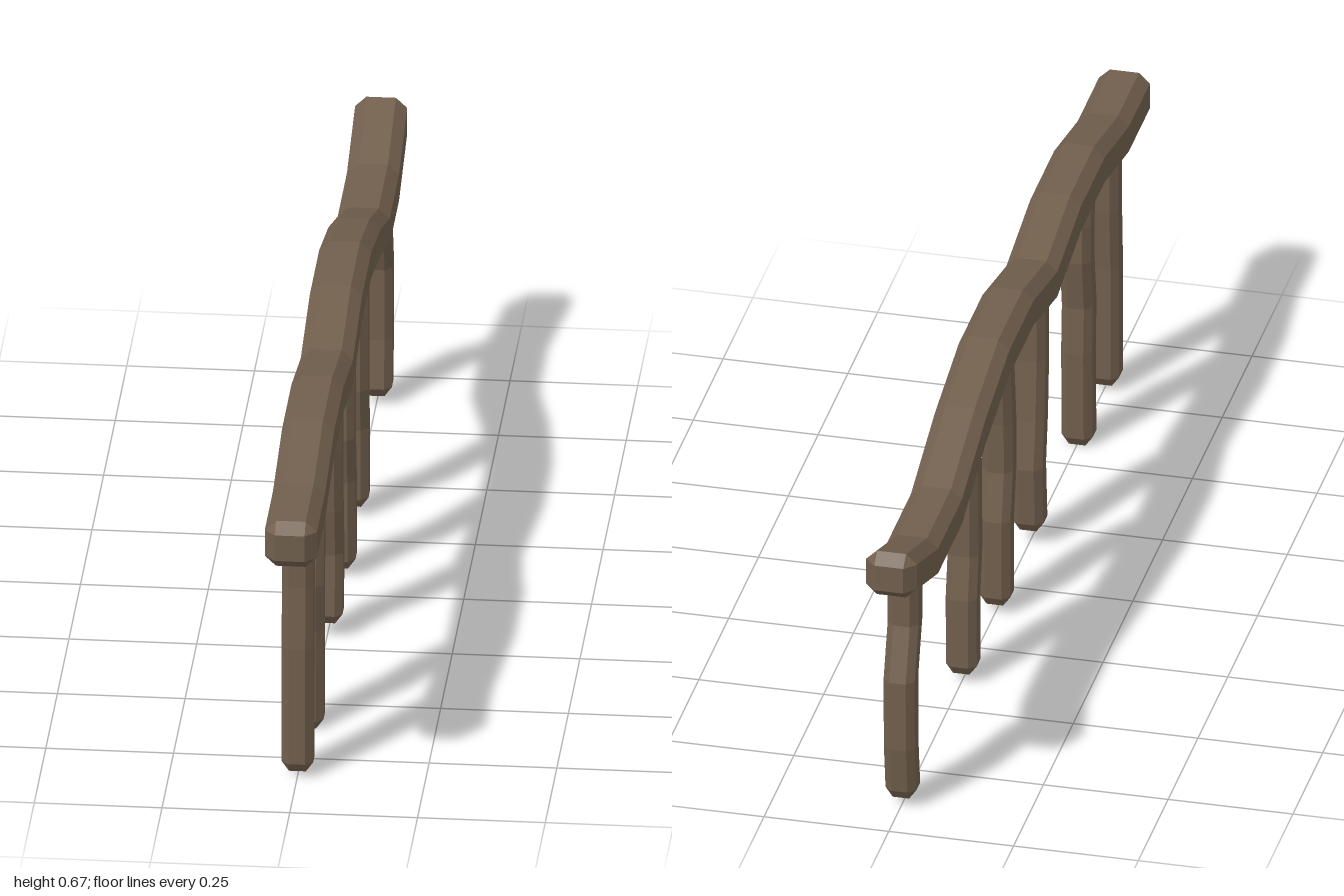
import * as THREE from 'three';

const wood = new THREE.MeshStandardMaterial({ color: 0x715f4d, flatShading: true });
wood.name = 'weathered wood';

// Chamfered-square section, counter-clockwise: h = half size, c = half of the flat
const section = (h, c) => [[h, -c], [h, c], [c, h], [-c, h], [-h, c], [-h, -c], [-c, -h], [c, -h]];
// End section: the chamfer corners fold into a small square
const endSection = (c) => [[c, -c], [c, c], [c, c], [-c, c], [-c, c], [-c, -c], [-c, -c], [c, -c]];

// Skin a list of rings (arrays of Vector3) and cap both ends
function loft(rings, name) {
  const pos = [];
  const tri = (a, b, c) => {
    const area = b.clone().sub(a).cross(c.clone().sub(a)).length();
    if (area > 1e-9) for (const p of [a, b, c]) pos.push(p.x, p.y, p.z);
  };
  const n = rings[0].length;
  for (let i = 0; i < rings.length - 1; i++) {
    for (let j = 0; j < n; j++) {
      const k = (j + 1) % n;
      const [a, b, c, d] = [rings[i][j], rings[i][k], rings[i + 1][k], rings[i + 1][j]];
      tri(a, b, c);
      tri(a, c, d);
    }
  }
  const first = rings[0], last = rings[rings.length - 1];
  for (let j = 1; j < n - 1; j++) {
    tri(first[0], first[j + 1], first[j]);
    tri(last[0], last[j], last[j + 1]);
  }
  const geo = new THREE.BufferGeometry();
  geo.setAttribute('position', new THREE.Float32BufferAttribute(pos, 3));
  geo.computeVertexNormals();
  const mesh = new THREE.Mesh(geo, wood);
  mesh.name = name;
  return mesh;
}

// Wavy top rail: [z, y] centres from back to front, upright sections
function makeRail() {
  const path = [[-1, 0.563], [-0.977, 0.563], [-0.8, 0.502], [-0.6, 0.502], [-0.4, 0.573], [-0.2, 0.618],
    [0, 0.618], [0.2, 0.573], [0.4, 0.611], [0.6, 0.611], [0.8, 0.569], [0.977, 0.569], [1, 0.569]];
  const rings = path.map(([z, y], i) => {
    const isEnd = i === 0 || i === path.length - 1;
    const pts = isEnd ? endSection(0.029) : section(0.051, 0.029);
    return pts.map(([u, v]) => new THREE.Vector3(u, y + v * 0.95, z));
  });
  return loft(rings, 'rail');
}

// Crooked post: [z, y] centres from top to bottom, level sections
function makePost(path, name) {
  const [zEnd, yEnd] = path[path.length - 1];
  const rings = path.map(([z, y]) => section(0.031, 0.0165).map(([u, v]) => new THREE.Vector3(u, y, z + v * 0.95)));
  rings.push(endSection(0.0165).map(([u, v]) => new THREE.Vector3(u, yEnd - 0.02, zEnd + v)));
  return loft(rings, name);
}

export function createModel() {
  const group = new THREE.Group();
  group.name = 'railing';
  group.add(makeRail());
  const posts = [
    [[0.812, 0.56], [0.811, 0.41], [0.819, 0.28], [0.818, 0.032]],
    [[0.59, 0.59], [0.581, 0.5], [0.58, 0.42], [0.597, 0.31], [0.591, 0.21], [0.596, 0.02]],
    [[0.2, 0.56], [0.2, 0.41], [0.19, 0.28], [0.174, 0.18], [0.185, 0.053]],
    [[-0.097, 0.6], [-0.092, 0.55], [-0.076, 0.42], [-0.074, 0.31], [-0.094, 0.21], [-0.094, 0.04]],
    [[-0.372, 0.56], [-0.362, 0.44], [-0.361, 0.28], [-0.377, 0.19], [-0.376, 0.04]],
    [[-0.865, 0.51], [-0.864, 0.4], [-0.898, 0.29], [-0.896, 0.14], [-0.882, 0.04]],
  ];
  posts.forEach((path, i) => group.add(makePost(path, `post${i + 1}`)));
  return group;
}
